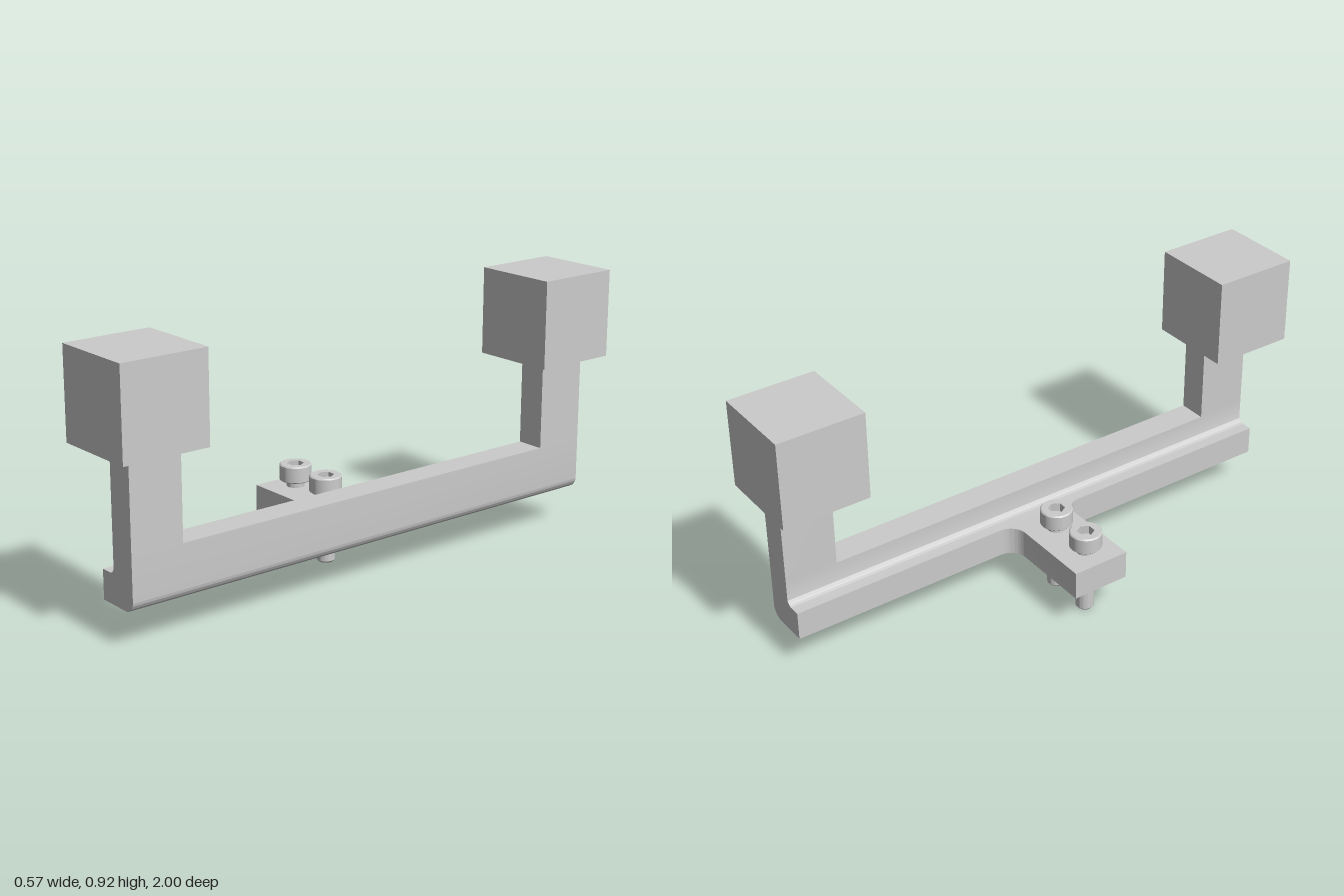
import * as THREE from 'three';
import { toCreasedNormals } from 'three/addons/utils/BufferGeometryUtils.js';

const material = new THREE.MeshStandardMaterial({ color: 0xcccccc });
const socketMaterial = new THREE.MeshStandardMaterial({ color: 0xcccccc, side: THREE.DoubleSide });

function part(name, geometry, parent, mat = material) {
  const mesh = new THREE.Mesh(geometry, mat);
  mesh.name = name;
  parent.add(mesh);
  return mesh;
}

function extrude(shape, depth) {
  const g = new THREE.ExtrudeGeometry(shape, { depth, bevelEnabled: false, curveSegments: 12 });
  return toCreasedNormals(g, 0.5);
}

// Box given by its lower and upper corners
function block(x0, x1, y0, y1, z0, z1) {
  return new THREE.BoxGeometry(x1 - x0, y1 - y0, z1 - z0)
    .translate((x0 + x1) / 2, (y0 + y1) / 2, (z0 + z1) / 2);
}

// Socket-head screw with its tip at y = 0
function createScrew() {
  const screw = new THREE.Group();
  screw.name = 'screw';
  const top = 0.305, rim = 0.051, hex = 0.029, floor = 0.275;
  const profile = [
    [0, 0], [0.026, 0], [0.031, 0.006], [0.031, 0.247], [0.052, 0.247],
    [0.055, 0.25], [0.055, 0.301], [rim, top],
  ].map(([r, y]) => new THREE.Vector2(r, y));
  part('screwBody', toCreasedNormals(new THREE.LatheGeometry(profile, 40), 0.5), screw);

  // Top face with a hexagonal opening
  const face = new THREE.Shape().absarc(0, 0, rim, 0, Math.PI * 2);
  const corners = [];
  for (let i = 0; i < 6; i++) {
    const a = i * Math.PI / 3;
    corners.push(new THREE.Vector2(hex * Math.cos(a), hex * Math.sin(a)));
  }
  face.holes.push(new THREE.Path(corners));
  part('screwTop', new THREE.ShapeGeometry(face, 20).rotateX(-Math.PI / 2).translate(0, top, 0), screw);

  // Hexagonal recess
  const walls = new THREE.CylinderGeometry(hex, hex, top - floor, 6, 1, true, Math.PI / 6);
  part('socketWalls', toCreasedNormals(walls.translate(0, (top + floor) / 2, 0), 0.5), screw, socketMaterial);
  part('socketFloor', new THREE.CircleGeometry(hex, 6).rotateX(-Math.PI / 2).translate(0, floor, 0), screw);
  return screw;
}

export function createModel() {
  const model = new THREE.Group();
  model.name = 'bracket';

  // Long angle bar with rounded outer corner and inner fillet
  const low = 0.125, high = 0.225, end = 0.94;
  const angle = new THREE.Shape();
  angle.moveTo(0.06, low);
  angle.lineTo(0.18, low);
  angle.absarc(0.18, low + 0.04, 0.04, -Math.PI / 2, 0, false);
  angle.lineTo(0.22, 0.31);
  angle.lineTo(0.12, 0.31);
  angle.lineTo(0.12, high + 0.022);
  angle.absarc(0.098, high + 0.022, 0.022, 0, -Math.PI / 2, true);
  angle.lineTo(0.06, high);
  angle.closePath();
  part('angleBar', extrude(angle, end * 2).translate(0, 0, -end), model);

  // Mounting tab, flaring into the bar
  const half = 0.103, r = 0.06;
  const tab = new THREE.Shape();
  tab.moveTo(-0.285, -half);
  tab.lineTo(0, -half);
  tab.absarc(0, -half - r, r, Math.PI / 2, 0, true);
  tab.lineTo(0.06, half + r);
  tab.absarc(0, half + r, r, 0, -Math.PI / 2, true);
  tab.lineTo(-0.285, half);
  tab.closePath();
  part('mountingTab', extrude(tab, high - low).rotateX(-Math.PI / 2).translate(0, low, 0), model);

  // Upright and cube at each end
  for (const [side, s] of [['front', 1], ['back', -1]]) {
    const z = (a, b) => (s > 0 ? [a, b] : [-b, -a]);
    part(side + 'Upright', block(0.12, 0.22, 0.31, 0.615, ...z(0.755, end)), model);
    part(side + 'Cube', block(-0.02, 0.285, 0.615, 0.92, ...z(0.695, 1)), model);
  }

  // Two screws through the tab
  for (const x of [-0.198, -0.035]) {
    const screw = createScrew();
    screw.position.x = x;
    model.add(screw);
  }
  return model;
}
